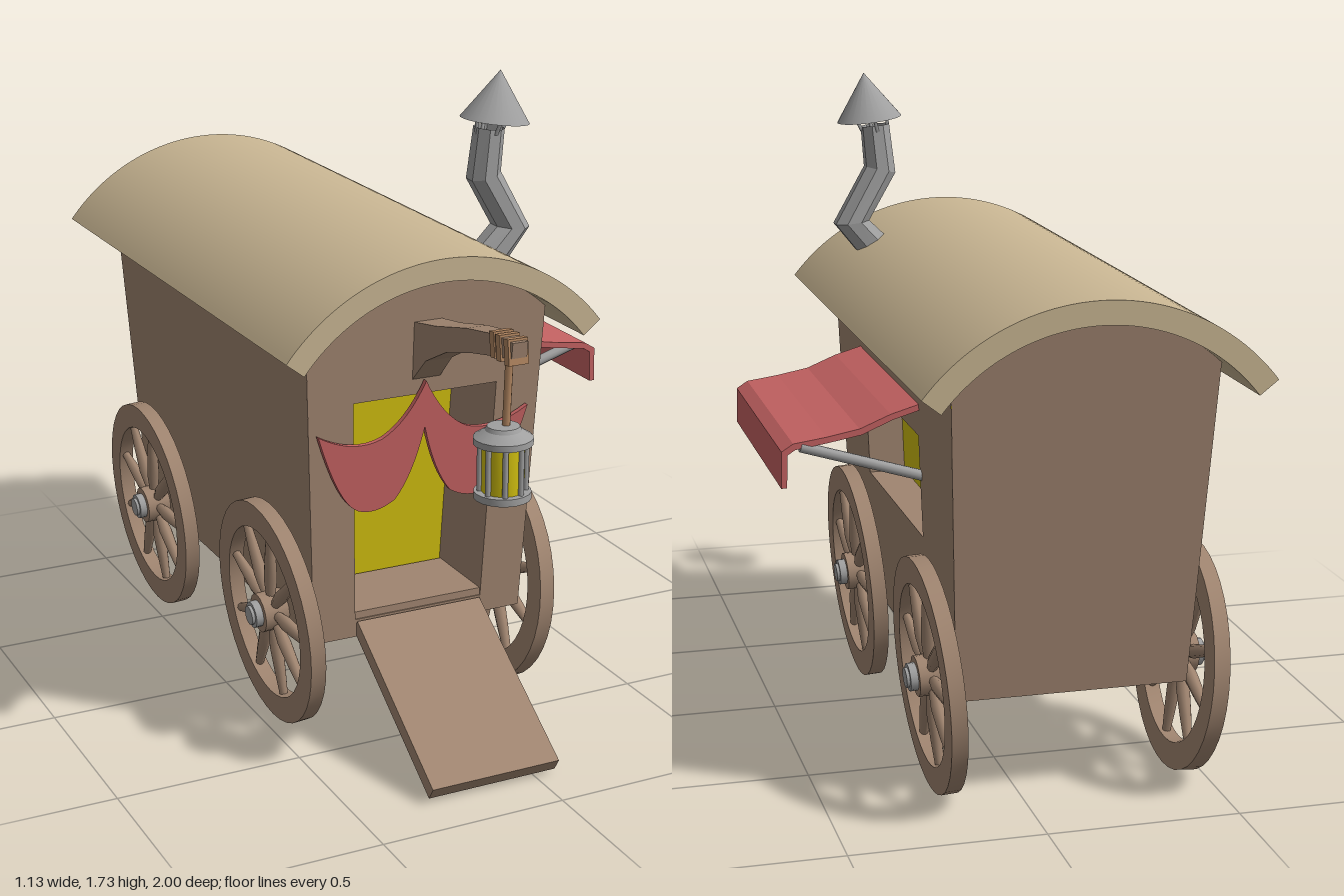
import * as THREE from 'three';
import { toCreasedNormals } from 'three/addons/utils/BufferGeometryUtils.js';

const mat = (color) => new THREE.MeshStandardMaterial({ color, side: THREE.DoubleSide });
const wood = mat(0xa08570), roofWood = mat(0xc8b592), cloth = mat(0xc46262), glow = mat(0xd2c010), metal = mat(0xa0a0a0);
const rope = mat(0xb08560);
const V = (x, y, z) => new THREE.Vector3(x, y, z);

function add(parent, name, geo, material, x = 0, y = 0, z = 0) {
  const m = new THREE.Mesh(geo, material);
  m.name = name;
  m.position.set(x, y, z);
  parent.add(m);
  return m;
}

// Moves every vertex by a rule and refreshes the normals
function warp(geo, rule) {
  const p = geo.attributes.position, v = V(0, 0, 0);
  for (let i = 0; i < p.count; i++) {
    rule(v.fromBufferAttribute(p, i));
    p.setXYZ(i, v.x, v.y, v.z);
  }
  geo.computeVertexNormals();
  return geo;
}

// Straight rod between two points
function rod(parent, name, a, b, r, material, sides = 10) {
  const m = add(parent, name, new THREE.CylinderGeometry(r, r, a.distanceTo(b), sides), material);
  m.position.copy(a).lerp(b, 0.5);
  m.quaternion.setFromUnitVectors(V(0, 1, 0), b.clone().sub(a).normalize());
  return m;
}

const polygon = (pts) => new THREE.Shape(pts.map(([x, y]) => new THREE.Vector2(x, y)));

// Leaning planes of the tapered body
const sideX = (y) => 0.303 + (y - 0.285) * 0.043;
const frontZ = (y) => 0.44 + (y - 0.285) * 0.06;
const backZ = (y) => -0.79 - (y - 0.285) * 0.105;
const ARC_Y = 0.772, BASE = 0.285, EAVE = 1.165;

function quads(list) {
  const pos = [];
  for (const [a, b, c, d] of list) for (const p of [a, b, c, a, c, d]) pos.push(p.x, p.y, p.z);
  const g = new THREE.BufferGeometry();
  g.setAttribute('position', new THREE.Float32BufferAttribute(pos, 3));
  g.computeVertexNormals();
  return g;
}

// Tunnel behind an opening, closed by a bright panel
function recess(parent, name, corners, inward) {
  const deep = corners.map((c) => c.clone().add(inward));
  add(parent, name + 'Reveal', quads(corners.map((c, i) => {
    const j = (i + 1) % 4;
    return [corners[j], c, deep[i], deep[j]];
  })), wood);
  add(parent, name, quads([deep]), glow);
}

function endShape() {
  const s = polygon([[-sideX(BASE), BASE], [sideX(BASE), BASE], [sideX(EAVE), EAVE]]);
  const a = Math.atan2(EAVE - ARC_Y, sideX(EAVE));
  s.absarc(0, ARC_Y, 0.52, a, Math.PI - a, false);
  return s;
}

function makeBody(g) {
  const door = [[-0.185, 0.335], [0.185, 0.335], [0.205, 0.945], [-0.205, 0.945]];
  const win = [[-0.13, 0.63], [0.505, 0.63], [0.505, 0.9], [-0.13, 0.9]];
  const front = endShape();
  front.holes.push(polygon(door));
  add(g, 'frontWall', warp(new THREE.ShapeGeometry(front, 24), (v) => { v.z = frontZ(v.y); }), wood);
  add(g, 'backWall', warp(new THREE.ShapeGeometry(endShape(), 24), (v) => { v.x *= -1; v.z = backZ(v.y); }), wood);
  for (const s of [1, -1]) {
    const side = polygon([[-s * frontZ(BASE), BASE], [-s * backZ(BASE), BASE], [-s * backZ(EAVE), EAVE], [-s * frontZ(EAVE), EAVE]]);
    if (s > 0) side.holes.push(polygon(win));
    add(g, s > 0 ? 'leftWall' : 'rightWall', warp(new THREE.ShapeGeometry(side),
      (v) => { v.set(s * sideX(v.y), v.y, -s * v.x); }), wood);
  }
  const w = sideX(BASE), f = frontZ(BASE), b = backZ(BASE);
  add(g, 'floor', quads([[V(-w, BASE, b), V(w, BASE, b), V(w, BASE, f), V(-w, BASE, f)]]), wood);
  recess(g, 'door', door.map(([x, y]) => V(x, y, frontZ(y))), V(0, 0, -0.24));
  recess(g, 'window', win.map(([u, y]) => V(sideX(y), y, -u)), V(-0.1, 0, 0));
  add(g, 'doorSill', new THREE.BoxGeometry(0.37, 0.02, 0.23), wood, 0, 0.345, 0.325);

  // Barrel roof with radially cut eaves
  const a = Math.asin(0.44 / 0.558), roof = new THREE.Shape();
  roof.absarc(0, ARC_Y, 0.558, Math.PI / 2 - a, Math.PI / 2 + a, false);
  roof.absarc(0, ARC_Y, 0.498, Math.PI / 2 + a, Math.PI / 2 - a, true);
  const rg = new THREE.ExtrudeGeometry(roof, { depth: 1.6, bevelEnabled: false, curveSegments: 32 });
  add(g, 'roof', toCreasedNormals(rg, 0.5), roofWood, 0, 0, -1);

  const ramp = add(g, 'ramp', new THREE.BoxGeometry(0.362, 0.04, 0.52), wood, 0, 0.173, 0.655);
  ramp.rotation.x = 0.573;
}

function makeWheel(g, side, z) {
  const lean = new THREE.Group(), wheel = new THREE.Group();
  lean.name = (z > 0 ? 'front' : 'back') + (side > 0 ? 'Left' : 'Right') + 'Wheel';
  lean.position.set(side * 0.336, 0.31, z);
  lean.rotation.z = -side * 0.07;
  wheel.rotation.y = side * Math.PI / 2;
  lean.add(wheel);
  g.add(lean);
  const ring = new THREE.Shape().absarc(0, 0, 0.305, 0, Math.PI * 2);
  ring.holes.push(new THREE.Path().absarc(0, 0, 0.235, 0, Math.PI * 2, true));
  const rim = new THREE.ExtrudeGeometry(ring, { depth: 0.042, bevelEnabled: false, curveSegments: 20 });
  add(wheel, 'rim', toCreasedNormals(rim, 0.5), wood, 0, 0, -0.021);
  // Spokes swell in the middle
  const profile = [[0.011, 0.03], [0.019, 0.1], [0.016, 0.17], [0.011, 0.245]].map(([r, y]) => new THREE.Vector2(r, y));
  for (let i = 0; i < 9; i++) {
    add(wheel, 'spoke', new THREE.LatheGeometry(profile, 8), wood).rotation.z = i * Math.PI * 2 / 9 - Math.PI / 2;
  }
  for (const [name, r, from, to, m] of [['hub', 0.053, -0.035, 0.036, wood], ['hubCap', 0.036, 0.036, 0.056, metal], ['hubNut', 0.026, 0.056, 0.064, metal]]) {
    add(wheel, name, new THREE.CylinderGeometry(r, r, to - from, 16), m, 0, 0, (from + to) / 2).rotation.x = Math.PI / 2;
  }
}

function makeAwning(g) {
  const top = [[0.32, 0.99], [0.405, 0.965], [0.485, 0.932], [0.57, 0.916], [0.655, 0.904], [0.685, 0.885], [0.687, 0.79]];
  const under = [[0.672, 0.79], [0.67, 0.875], [0.65, 0.888], [0.57, 0.9], [0.48, 0.916], [0.4, 0.95], [0.32, 0.974]];
  add(g, 'awning', new THREE.ExtrudeGeometry(polygon([...top, ...under]), { depth: 0.7, bevelEnabled: false }), cloth, 0, 0, -0.525);
  for (const z of [0.14, -0.515]) rod(g, 'awningStrut', V(0.315, 0.795, z), V(0.635, 0.893, z), 0.014, metal);
}

function makeCurtains(g) {
  for (const s of [1, -1]) {
    const c = new THREE.Shape();
    c.moveTo(0, 0.985);
    c.quadraticCurveTo(s * 0.05, 0.88, s * 0.12, 0.845);
    c.quadraticCurveTo(s * 0.2, 0.815, s * 0.3, 0.875);
    c.quadraticCurveTo(s * 0.24, 0.68, s * 0.185, 0.655);
    c.quadraticCurveTo(s * 0.135, 0.635, s * 0.08, 0.67);
    c.quadraticCurveTo(s * 0.03, 0.73, 0, 0.86);
    const geo = warp(new THREE.ExtrudeGeometry(c, { depth: 0.015, bevelEnabled: false, curveSegments: 8 }),
      (v) => { v.z += frontZ(v.y) + 0.006; });
    add(g, s > 0 ? 'leftCurtain' : 'rightCurtain', geo, cloth, -0.01);
  }
}

function makeChimney(g) {
  // Crooked pipe: octagonal rings mitred at each joint
  const path = [V(0.245, 1.225, 0.325), V(0.325, 1.315, 0.322), V(0.24, 1.46, 0.33), V(0.252, 1.585, 0.335)];
  const radii = [0.05, 0.052, 0.046, 0.041];
  const rings = path.map((p, i) => {
    const t = path[Math.min(i + 1, 3)].clone().sub(path[i]).normalize();
    t.add(p.clone().sub(path[Math.max(i - 1, 0)]).normalize()).normalize();
    const q = new THREE.Quaternion().setFromUnitVectors(V(0, 1, 0), t);
    return Array.from({ length: 9 }, (_, k) => {
      const a = k * Math.PI / 4 + Math.PI / 8;
      return V(Math.sin(a) * radii[i], 0, Math.cos(a) * radii[i]).applyQuaternion(q).add(p);
    });
  });
  const faces = [];
  for (let i = 0; i < 3; i++) for (let k = 0; k < 8; k++) {
    faces.push([rings[i][k], rings[i][k + 1], rings[i + 1][k + 1], rings[i + 1][k]]);
  }
  add(g, 'chimneyPipe', quads(faces), metal);
  for (let k = 0; k < 4; k++) {
    const x = Math.cos(k * Math.PI / 2), z = Math.sin(k * Math.PI / 2);
    rod(g, 'cowlPost', V(0.252 + x * 0.037, 1.57, 0.335 + z * 0.037), V(0.268 + x * 0.05, 1.625, 0.337 + z * 0.05), 0.005, metal, 6);
  }
  add(g, 'chimneyCowl', new THREE.ConeGeometry(0.091, 0.13, 24), metal, 0.275, 1.667, 0.337).rotation.z = -0.12;
}

function makeLantern(g) {
  // Curved bracket, narrowing to its tip
  const arm = polygon([[0.48, 0.985], [0.55, 1.055], [0.65, 1.105], [0.78, 1.14], [0.88, 1.16], [0.96, 1.175],
    [0.965, 1.215], [0.88, 1.215], [0.75, 1.195], [0.6, 1.16], [0.48, 1.14]]);
  add(g, 'bracket', warp(new THREE.ExtrudeGeometry(arm, { depth: 1, bevelEnabled: false }), (v) => {
    const w = 0.08 - (v.x - 0.48) * 0.08;
    v.set((0.5 - v.z) * w, v.y, v.x);
  }), wood);
  for (const z of [0.875, 0.905, 0.945]) {
    add(g, 'ropeWrap', new THREE.BoxGeometry(0.054, 0.064, 0.022), rope, 0, 1.188, z).rotation.x = -0.12;
  }
  rod(g, 'rope', V(-0.015, 0.99, 0.928), V(-0.008, 1.18, 0.928), 0.01, rope);

  const lamp = new THREE.Group();
  lamp.name = 'lantern';
  lamp.position.set(-0.02, 0.818, 0.925);
  g.add(lamp);
  const lathe = (name, pts, m) => add(lamp, name, toCreasedNormals(
    new THREE.LatheGeometry(pts.map(([x, y]) => new THREE.Vector2(x, y)), 20), 0.5), m);
  lathe('lampBase', [[0, 0], [0.07, 0], [0.07, 0.018], [0, 0.018]], metal);
  lathe('lampGlass', [[0.052, 0.018], [0.052, 0.14]], glow);
  lathe('lampCap', [[0, 0.138], [0.073, 0.138], [0.073, 0.154], [0.045, 0.172], [0.04, 0.182], [0, 0.184]], metal);
  for (let k = 0; k < 8; k++) {
    const a = (k + 0.5) * Math.PI / 4, x = Math.cos(a) * 0.056, z = Math.sin(a) * 0.056;
    rod(lamp, 'lampBar', V(x, 0.015, z), V(x, 0.14, z), 0.007, metal, 6);
  }
}

export function createModel() {
  const model = new THREE.Group();
  const wagon = new THREE.Group();
  wagon.name = 'wagon';
  wagon.position.x = -0.125;
  model.add(wagon);
  makeBody(wagon);
  for (const z of [0.235, -0.645]) for (const s of [1, -1]) makeWheel(wagon, s, z);
  makeAwning(wagon);
  makeCurtains(wagon);
  makeChimney(wagon);
  makeLantern(wagon);
  return model;
}
